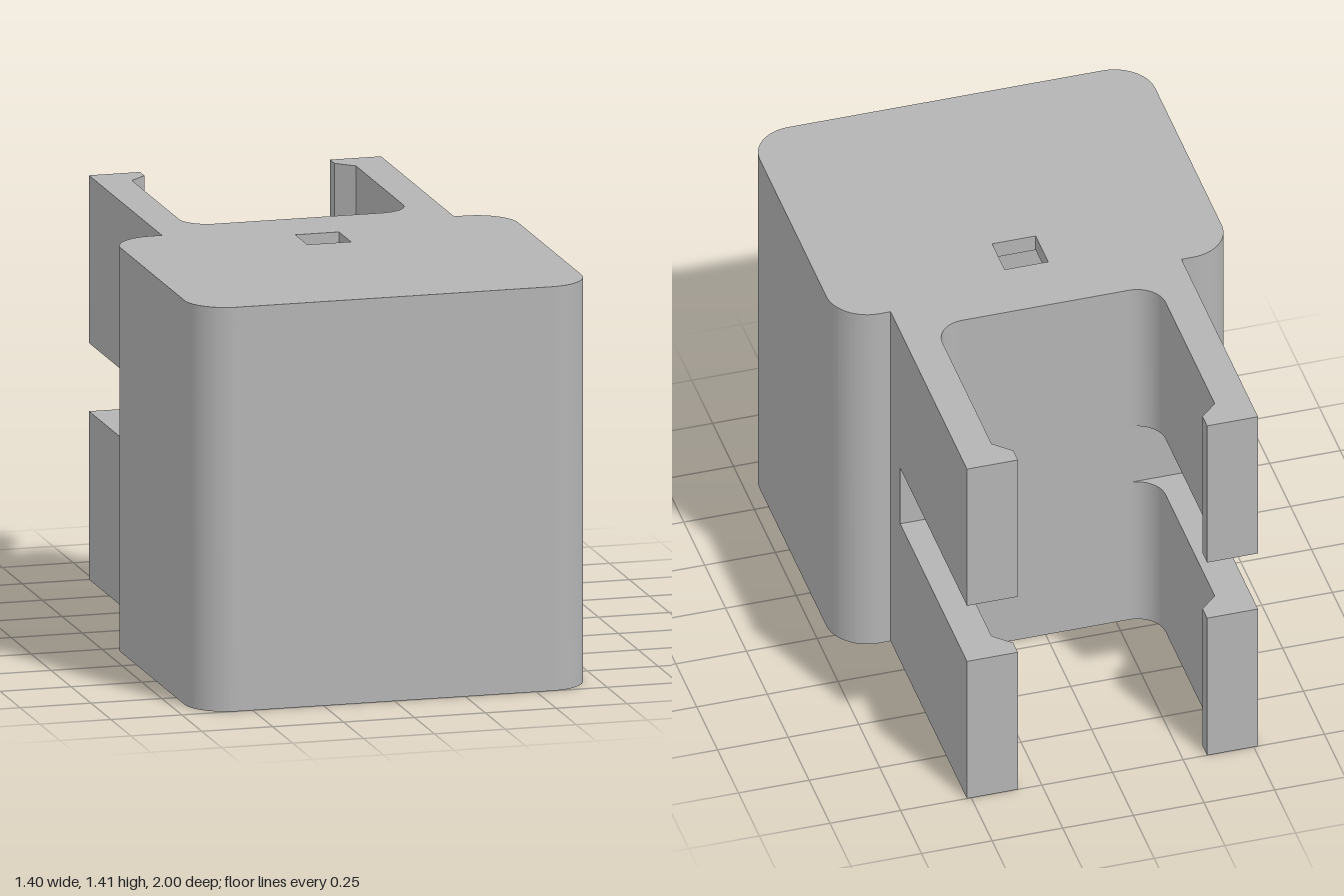
import * as THREE from 'three';
import { toCreasedNormals } from 'three/addons/utils/BufferGeometryUtils.js';

const HEIGHT = 1.41, ROOF = 0.06;

// Rounded rectangle outline in plan; y of the shape is -z of the model
function roundedRect(path, x0, y0, x1, y1, r) {
  path.moveTo(x0 + r, y0);
  path.lineTo(x1 - r, y0);
  path.absarc(x1 - r, y0 + r, r, -Math.PI / 2, 0, false);
  path.lineTo(x1, y1 - r);
  path.absarc(x1 - r, y1 - r, r, 0, Math.PI / 2, false);
  path.lineTo(x0 + r, y1);
  path.absarc(x0 + r, y1 - r, r, Math.PI / 2, Math.PI, false);
  path.lineTo(x0, y0 + r);
  path.absarc(x0 + r, y0 + r, r, Math.PI, Math.PI * 1.5, false);
  return path;
}

// Raises a plan outline from height y0 to y1
function raise(shape, y0, y1) {
  const g = new THREE.ExtrudeGeometry(shape, { depth: y1 - y0, bevelEnabled: false, curveSegments: 16 });
  g.rotateX(-Math.PI / 2);
  g.translate(0, y0, 0);
  return toCreasedNormals(g, 0.5);
}

export function createModel() {
  const model = new THREE.Group();
  model.name = 'clipHolder';
  const grey = new THREE.MeshStandardMaterial({ color: 0xb4b4b4 });
  grey.name = 'grey';
  const add = (name, geometry) => {
    const mesh = new THREE.Mesh(geometry, grey);
    mesh.name = name;
    model.add(mesh);
  };
  const outline = () => roundedRect(new THREE.Shape(), -0.7, -1, 0.7, 0.085, 0.145);

  // Hollow body, open underneath
  const walls = outline();
  walls.holes.push(roundedRect(new THREE.Path(), -0.585, -0.885, 0.585, -0.03, 0.12));
  add('bodyWalls', raise(walls, 0, HEIGHT - ROOF));

  // Roof with a small square hole
  const roof = outline();
  roof.holes.push(new THREE.Path([[-0.077, -0.18], [-0.077, -0.03], [0.077, -0.03], [0.077, -0.18]]
    .map(([x, y]) => new THREE.Vector2(x, y))));
  add('roof', raise(roof, HEIGHT - ROOF, HEIGHT));

  // Solid web between the body and the clip arms
  const web = new THREE.BoxGeometry(1.03, HEIGHT, 0.115);
  web.translate(0, HEIGHT / 2, -0.1425);
  add('web', web);

  // Hooked clip arms, in a lower and an upper pair
  for (const [level, y0, y1] of [['lower', 0, 0.587], ['upper', 0.825, HEIGHT]]) {
    for (const [side, s] of [['Left', 1], ['Right', -1]]) {
      const arm = new THREE.Shape();
      arm.moveTo(s * 0.515, 0.2);
      arm.lineTo(s * 0.515, 1);
      arm.lineTo(s * 0.335, 1);
      arm.lineTo(s * 0.335, 0.945);
      arm.lineTo(s * 0.395, 0.888);
      arm.lineTo(s * 0.395, 0.3);
      // Fillet where the arm meets the web
      arm.absarc(s * 0.295, 0.3, 0.1, s > 0 ? 0 : Math.PI, s > 0 ? -Math.PI / 2 : Math.PI * 1.5, s > 0);
      arm.closePath();
      add(level + side + 'Arm', raise(arm, y0, y1));
    }
  }
  return model;
}
